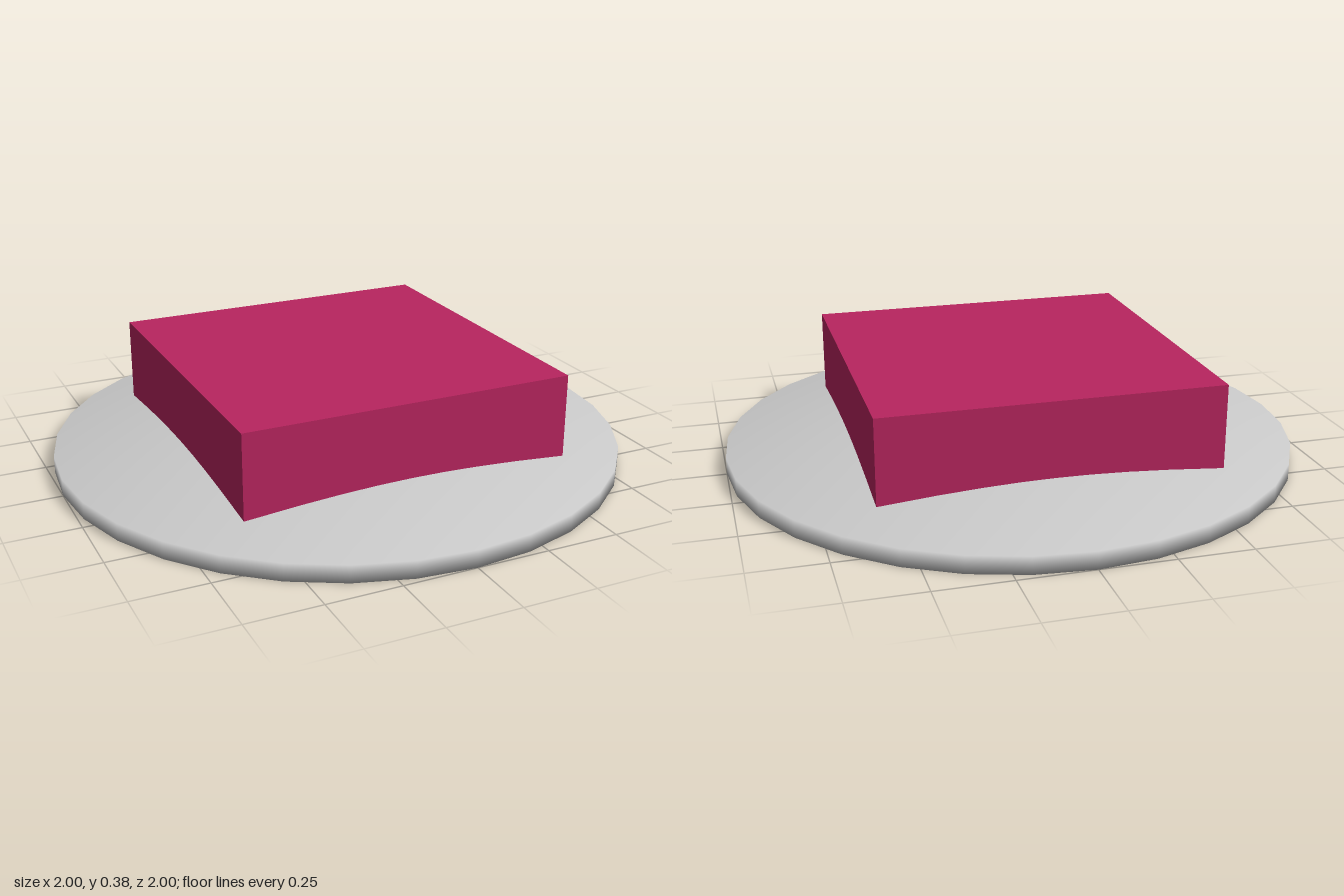
import * as THREE from 'three';
import { mergeVertices } from 'three/addons/utils/BufferGeometryUtils.js';

const BASE_RADIUS = 1, RIM_HEIGHT = 0.06, APEX_HEIGHT = 0.19;
const BLOCK_WIDTH = 1.16, BLOCK_BOTTOM = 0.06, BLOCK_TOP = 0.375;

// Thin round plate with a vertical rim and a shallow conical top, smoothly shaded
function createBase() {
  const profile = [
    [0, 0], [BASE_RADIUS, 0], [BASE_RADIUS, RIM_HEIGHT], [0, APEX_HEIGHT],
  ].map(([x, y]) => new THREE.Vector2(x, y));
  const lathe = new THREE.LatheGeometry(profile, 32);
  lathe.deleteAttribute('uv');
  lathe.deleteAttribute('normal');
  const geometry = mergeVertices(lathe, 1e-4);
  geometry.computeVertexNormals();
  const base = new THREE.Mesh(geometry, new THREE.MeshStandardMaterial({ color: 0xcccccc }));
  base.name = 'base';
  return base;
}

// Square block sunk into the cone
function createBlock() {
  const height = BLOCK_TOP - BLOCK_BOTTOM;
  const block = new THREE.Mesh(
    new THREE.BoxGeometry(BLOCK_WIDTH, height, BLOCK_WIDTH),
    new THREE.MeshStandardMaterial({ color: 0xb8255f }),
  );
  block.position.y = BLOCK_BOTTOM + height / 2;
  block.name = 'block';
  return block;
}

export function createModel() {
  const model = new THREE.Group();
  model.name = 'blockOnRoundBase';
  model.add(createBase(), createBlock());
  return model;
}
